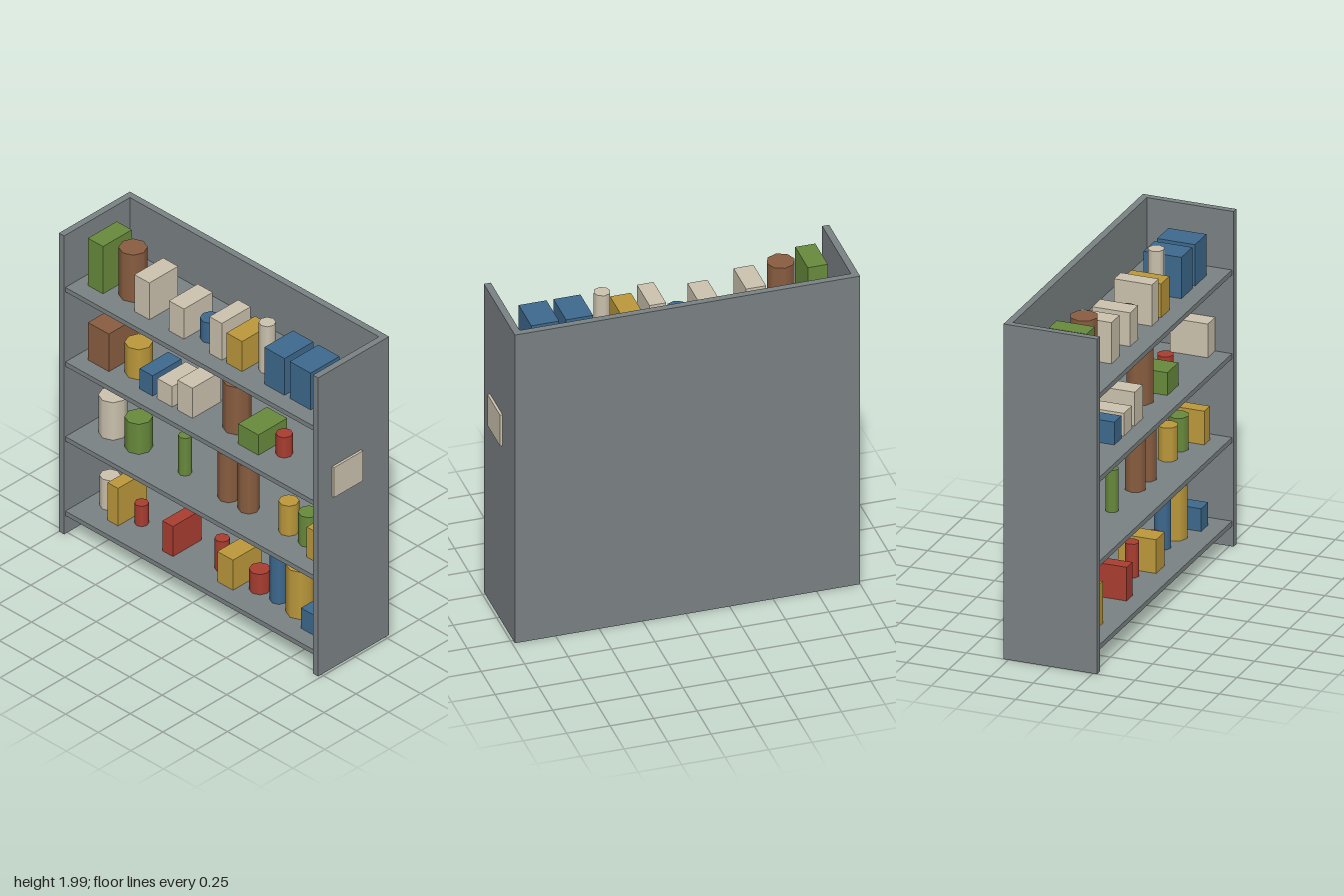
import * as THREE from 'three';

const COLORS = {
  grey: 0x7a8183, green: 0x688a3c, brown: 0x895d40, cream: 0xcbc2ae,
  blue: 0x3d698e, yellow: 0xbb983b, red: 0xa93d30,
};

// Each shelf: top height, then goods as [kind, colour, left x, right x, height]
const SHELVES = [
  { y: 0.15, goods: [
    ['can', 'cream', -0.885, -0.77, 0.2], ['box', 'yellow', -0.735, -0.655, 0.25],
    ['can', 'red', -0.625, -0.545, 0.135], ['box', 'red', -0.315, -0.235, 0.2],
    ['can', 'red', -0.01, 0.075, 0.2], ['box', 'yellow', 0.105, 0.225, 0.2],
    ['can', 'red', 0.26, 0.38, 0.135], ['can', 'blue', 0.415, 0.515, 0.315],
    ['can', 'yellow', 0.55, 0.71, 0.315], ['box', 'blue', 0.745, 0.845, 0.135]] },
  { y: 0.647, goods: [
    ['can', 'cream', -0.885, -0.725, 0.25], ['can', 'green', -0.685, -0.53, 0.2],
    ['can', 'green', -0.29, -0.215, 0.25], ['can', 'brown', 0.02, 0.14, 0.315],
    ['can', 'brown', 0.175, 0.295, 0.315], ['can', 'yellow', 0.485, 0.6, 0.2],
    ['can', 'green', 0.635, 0.755, 0.2], ['box', 'yellow', 0.79, 0.87, 0.2]] },
  { y: 1.145, goods: [
    ['box', 'brown', -0.885, -0.725, 0.25], ['can', 'yellow', -0.685, -0.53, 0.2],
    ['box', 'blue', -0.49, -0.39, 0.135], ['box', 'cream', -0.355, -0.24, 0.135],
    ['box', 'cream', -0.2, -0.085, 0.2], ['can', 'brown', 0.065, 0.225, 0.315],
    ['box', 'green', 0.265, 0.42, 0.135], ['can', 'red', 0.46, 0.555, 0.135],
    ['box', 'cream', 0.84, 1.0, 0.2]] },
  { y: 1.642, goods: [
    ['box', 'green', -0.885, -0.77, 0.315], ['can', 'brown', -0.73, -0.57, 0.315],
    ['box', 'cream', -0.53, -0.415, 0.245], ['box', 'cream', -0.265, -0.15, 0.2],
    ['can', 'blue', -0.115, 0.005, 0.135], ['box', 'cream', 0.045, 0.14, 0.245],
    ['box', 'yellow', 0.175, 0.295, 0.2], ['can', 'cream', 0.33, 0.425, 0.315],
    ['box', 'blue', 0.465, 0.62, 0.245], ['box', 'blue', 0.66, 0.82, 0.245]] },
];

export function createModel() {
  const model = new THREE.Group();
  model.name = 'stockedShelf';

  const mats = {};
  for (const [name, color] of Object.entries(COLORS)) {
    mats[name] = new THREE.MeshStandardMaterial({ color });
    mats[name].name = name;
  }

  const add = (parent, name, geometry, color, x, y, z) => {
    const mesh = new THREE.Mesh(geometry, mats[color]);
    mesh.name = name;
    mesh.position.set(x, y, z);
    parent.add(mesh);
  };
  // Box given by its lower and upper corner
  const slab = (parent, name, color, [x0, y0, z0], [x1, y1, z1]) =>
    add(parent, name, new THREE.BoxGeometry(x1 - x0, y1 - y0, z1 - z0), color,
      (x0 + x1) / 2, (y0 + y1) / 2, (z0 + z1) / 2);

  // Cabinet: two sides and a back
  const H = 1.99;
  slab(model, 'rightSide', 'grey', [-1, 0, -0.28], [-0.96, H, 0.275]);
  slab(model, 'leftSide', 'grey', [0.945, 0, -0.28], [0.985, H, 0.275]);
  slab(model, 'backPanel', 'grey', [-0.96, 0, -0.28], [0.945, H, -0.24]);

  // Shelf boards with their goods
  SHELVES.forEach(({ y, goods }, i) => {
    const shelf = new THREE.Group();
    shelf.name = `shelf${i + 1}`;
    model.add(shelf);
    slab(shelf, 'shelfBoard', 'grey', [-0.96, y - 0.03, -0.24], [0.945, y, 0.265]);
    for (const [kind, color, x0, x1, h] of goods) {
      if (kind === 'box') {
        slab(shelf, 'boxedGood', color, [x0, y, -0.06], [x1, y + h, 0.165]);
      } else {
        const r = (x1 - x0) / 2;
        add(shelf, 'cannedGood', new THREE.CylinderGeometry(r, r, h, 8), color,
          (x0 + x1) / 2, y + h / 2, 0.052);
      }
    }
  });

  return model;
}
